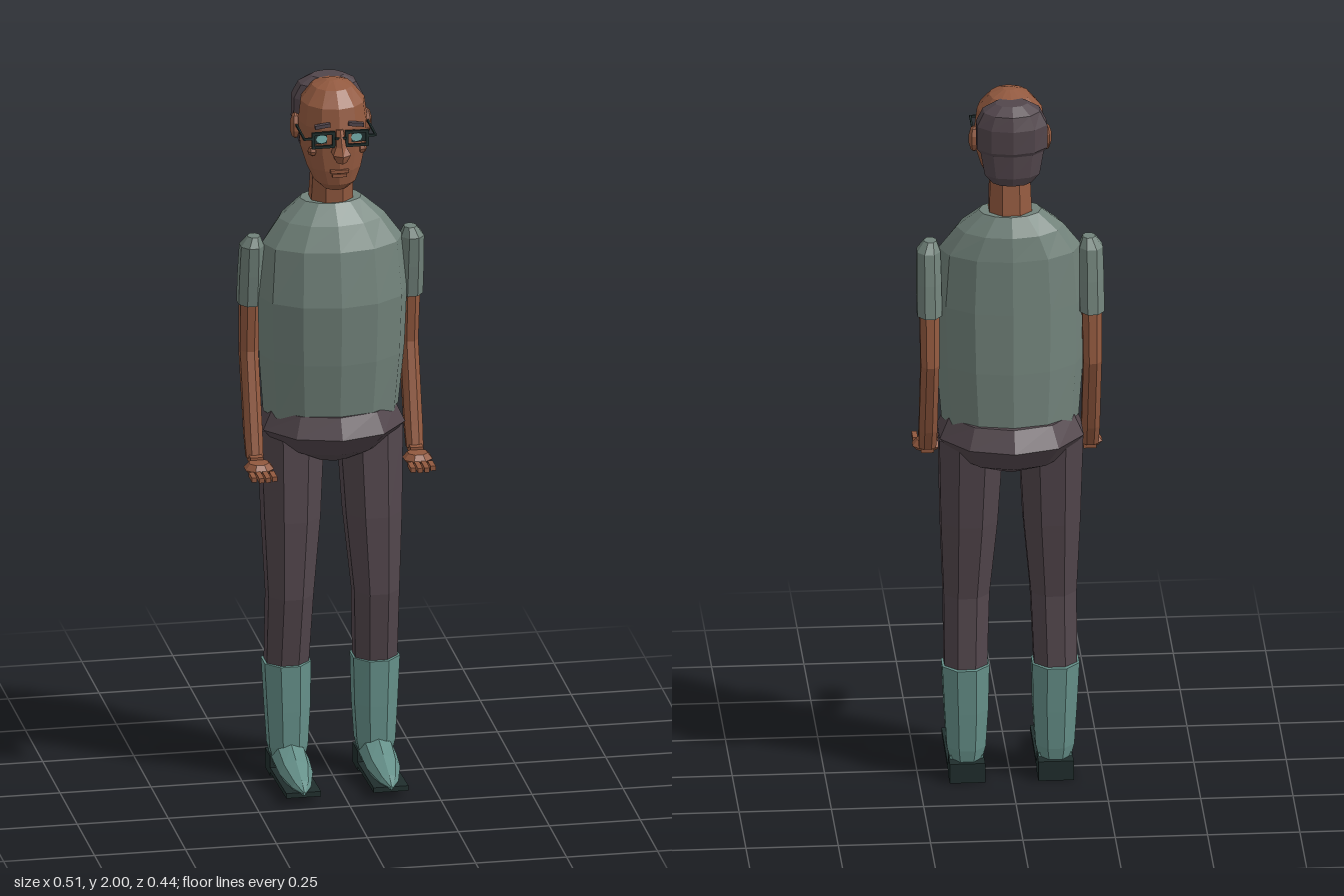
import * as THREE from 'three';

const mat = (name, color, extra) => Object.assign(new THREE.MeshStandardMaterial({ color, flatShading: true }), { name });
const M = {
  skin: mat('skin', 0x92593f),
  shirt: mat('shirt green', 0x71827a),
  plum: mat('trouser plum', 0x52464c),
  boot: mat('boot teal', 0x659089),
  dark: mat('dark rubber', 0x202e2d),
  eye: mat('eye aqua', 0x78b4b2),
};

// Closed loft through ellipses [y, centreX, centreZ, radiusX, radiusZ], listed bottom to top
function loft(sections, n, phase = 0) {
  const pos = [], idx = [];
  for (const [y, cx, cz, rx, rz] of sections)
    for (let j = 0; j < n; j++) {
      const a = (j + phase) / n * Math.PI * 2;
      pos.push(cx + Math.sin(a) * rx, y, cz + Math.cos(a) * rz);
    }
  const last = sections.length - 1, base = pos.length / 3;
  for (const k of [0, last]) pos.push(sections[k][1], sections[k][0], sections[k][2]);
  for (let j = 0; j < n; j++) {
    const k = (j + 1) % n;
    for (let i = 0; i < last; i++) {
      const a = i * n + j, b = i * n + k;
      idx.push(a, b, b + n, a, b + n, a + n);
    }
    idx.push(base, k, j, base + 1, last * n + j, last * n + k);
  }
  const g = new THREE.BufferGeometry();
  g.setAttribute('position', new THREE.Float32BufferAttribute(pos, 3));
  g.setIndex(idx);
  g.computeVertexNormals();
  return g;
}

// Section given by its front and back depth instead of centre and radius
const fb = ([y, rx, front, back]) => [y, 0, (front + back) / 2, rx, (front - back) / 2];

function add(parent, name, geometry, material, x = 0, y = 0, z = 0) {
  const m = new THREE.Mesh(geometry, material);
  m.name = name;
  m.position.set(x, y, z);
  parent.add(m);
  return m;
}
const box = (w, h, d) => new THREE.BoxGeometry(w, h, d);

function createHead() {
  const head = new THREE.Group();
  head.name = 'head';
  add(head, 'neck', loft([[1.56, 0, -0.035, 0.066, 0.06], [1.66, 0, -0.03, 0.062, 0.058], [1.78, 0, -0.015, 0.058, 0.052]], 8, 0.5), M.skin);
  add(head, 'skull', loft([
    [1.708, 0.035, 0.07, -0.01], [1.73, 0.058, 0.092, -0.03], [1.77, 0.076, 0.1, -0.07],
    [1.82, 0.09, 0.1, -0.1], [1.89, 0.095, 0.1, -0.11], [1.945, 0.088, 0.088, -0.105],
    [1.985, 0.055, 0.05, -0.075], [2.0, 0.018, 0.005, -0.025],
  ].map(fb), 12), M.skin);
  add(head, 'hair', loft([
    [1.765, 0.055, -0.06, -0.138], [1.79, 0.078, -0.045, -0.148], [1.855, 0.09, -0.035, -0.15],
    [1.865, 0.1, -0.02, -0.156], [1.93, 0.1, -0.015, -0.156], [1.968, 0.08, -0.02, -0.145],
    [1.988, 0.045, -0.045, -0.115],
  ].map(fb), 10), M.plum);
  add(head, 'nose', loft([[1.808, 0, 0.115, 0.016, 0.03], [1.83, 0, 0.118, 0.028, 0.034],
    [1.85, 0, 0.108, 0.016, 0.028], [1.892, 0, 0.093, 0.011, 0.015]], 6), M.skin);
  add(head, 'upperLip', box(0.05, 0.009, 0.016), M.skin, 0, 1.772, 0.096);
  add(head, 'lowerLip', box(0.04, 0.009, 0.016), M.skin, 0, 1.76, 0.094);

  // Rectangular spectacle rim
  const rim = new THREE.Shape([[-0.032, -0.022], [0.032, -0.022], [0.032, 0.024], [-0.032, 0.024]].map(p => new THREE.Vector2(...p)));
  rim.holes.push(new THREE.Path([[-0.024, -0.015], [-0.024, 0.016], [0.024, 0.016], [0.024, -0.015]].map(p => new THREE.Vector2(...p))));
  const rimGeo = new THREE.ExtrudeGeometry(rim, { depth: 0.008, bevelEnabled: false });
  for (const s of [-1, 1]) {
    const ear = add(head, 'ear', new THREE.SphereGeometry(1, 6, 5), M.skin, s * 0.098, 1.865, -0.032);
    ear.scale.set(0.015, 0.038, 0.024);
    add(head, 'cheek', new THREE.SphereGeometry(0.014, 6, 4), M.skin, s * 0.068, 1.822, 0.062);
    add(head, 'eyeSocket', box(0.048, 0.03, 0.006), M.dark, s * 0.048, 1.866, 0.087);
    const eye = add(head, 'eye', new THREE.CircleGeometry(0.012, 8), M.eye, s * 0.048, 1.865, 0.0915);
    eye.scale.x = 1.3;
    const brow = add(head, 'eyebrow', box(0.042, 0.01, 0.014), M.plum, s * 0.046, 1.903, 0.092);
    brow.rotation.z = s * -0.12;
    add(head, 'glassesRim', rimGeo, M.dark, s * 0.046, 1.866, 0.101);
    add(head, 'glassesHinge', box(0.024, 0.006, 0.006), M.dark, s * 0.088, 1.872, 0.103);
    add(head, 'glassesTemple', box(0.005, 0.006, 0.135), M.dark, s * 0.098, 1.872, 0.036);
  }
  add(head, 'glassesBridge', box(0.03, 0.006, 0.006), M.dark, 0, 1.872, 0.113);
  return head;
}

function createArm(s) {
  const arm = new THREE.Group();
  arm.name = s > 0 ? 'leftArm' : 'rightArm', arm.userData.side = s;
  const x = s * 0.22;
  add(arm, 'sleeve', loft([[1.36, x, -0.047, 0.036, 0.047], [1.45, x, -0.032, 0.036, 0.046],
    [1.535, x, -0.017, 0.034, 0.042], [1.562, s * 0.215, -0.013, 0.018, 0.022]], 8, 0.5), M.shirt);
  add(arm, 'armSkin', loft([[0.94, x, 0.022, 0.025, 0.022], [1.0, x, 0, 0.027, 0.028], [1.22, x, -0.066, 0.027, 0.036],
    [1.38, x, -0.047, 0.029, 0.036]], 8, 0.5), M.skin);

  // Flat open hand held forward
  const hx = s * 0.218;
  add(arm, 'wrist', box(0.035, 0.022, 0.05), M.skin, x, 0.938, 0.035);
  add(arm, 'palm', loft([[0.914, hx, 0.076, 0.03, 0.03], [0.926, hx, 0.076, 0.042, 0.041], [0.942, hx, 0.076, 0.028, 0.028]], 8, 0.5), M.skin);
  [0.05, 0.055, 0.055, 0.045].forEach((len, i) =>
    add(arm, 'finger', box(0.014, 0.013, len), M.skin, hx + s * (i - 1.5) * 0.0185, 0.922, 0.113 + len / 2));
  return arm;
}

function createLeg(s) {
  const leg = new THREE.Group();
  leg.name = s > 0 ? 'leftLeg' : 'rightLeg';
  const x = s * 0.12;
  add(leg, 'trouserLeg', loft([[0.3, s * 0.122, -0.038, 0.062, 0.06], [0.53, s * 0.118, -0.01, 0.067, 0.07],
    [0.75, s * 0.112, -0.025, 0.083, 0.085], [1.0, s * 0.108, -0.045, 0.094, 0.09]], 8, 0.5), M.plum);
  add(leg, 'bootShaft', loft([[0.035, x, -0.03, 0.042, 0.055], [0.09, x, -0.03, 0.057, 0.066],
    [0.2, x, -0.033, 0.064, 0.071], [0.33, s * 0.122, -0.036, 0.069, 0.074]], 8, 0.5), M.boot);
  // Pointed foot: lofted along its length, then laid down to face forward
  const foot = add(leg, 'bootFoot', loft([[-0.06, x, -0.06, 0.046, 0.036], [0.03, x, -0.062, 0.049, 0.045],
    [0.1, x, -0.05, 0.046, 0.035], [0.18, x, -0.038, 0.026, 0.02], [0.22, x, -0.033, 0.003, 0.005]], 8), M.boot);
  foot.rotation.x = Math.PI / 2;
  const sole = add(leg, 'sole', box(0.096, 0.014, 0.235), M.dark, x, 0.022, 0.093);
  sole.rotation.x = -0.04;
  add(leg, 'heel', box(0.096, 0.056, 0.075), M.dark, x, 0.028, -0.06);
  return leg;
}

export function createModel() {
  const model = new THREE.Group();
  model.name = 'figure';
  add(model, 'shirt', loft([
    [1.05, 0.186, 0.105, -0.17], [1.22, 0.2, 0.125, -0.163], [1.39, 0.205, 0.135, -0.15],
    [1.54, 0.193, 0.11, -0.137], [1.605, 0.145, 0.078, -0.125], [1.655, 0.085, 0.03, -0.095],
  ].map(fb), 12), M.shirt);
  add(model, 'hips', loft([
    [0.915, 0.06, 0.03, -0.11], [0.95, 0.15, 0.085, -0.18], [1.012, 0.205, 0.145, -0.222], [1.068, 0.178, 0.115, -0.185],
  ].map(fb), 10), M.plum);
  model.add(createHead());
  for (const s of [-1, 1]) model.add(createArm(s), createLeg(s));
  return model;
}
